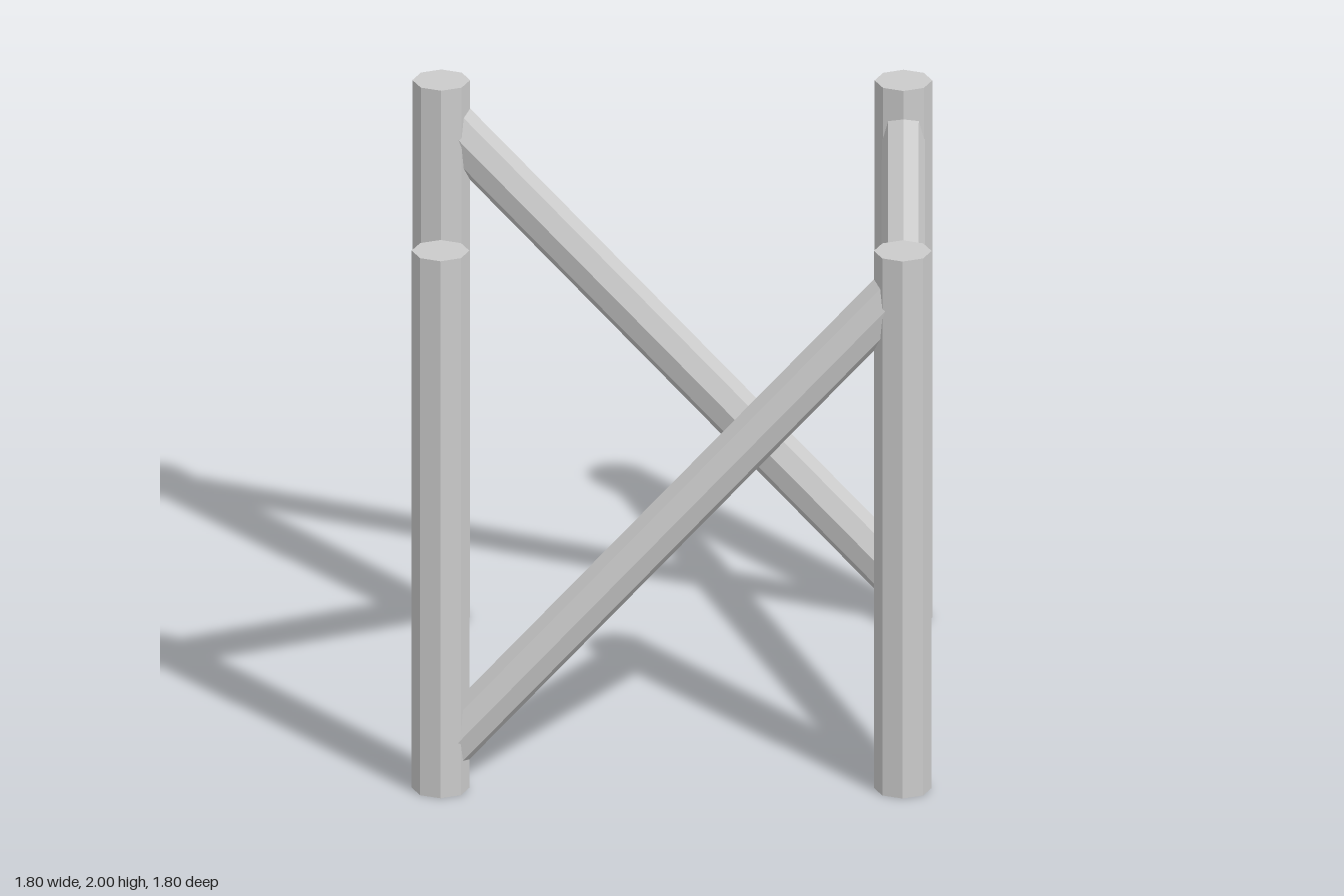
import * as THREE from 'three';

const HALF = 0.8;       // post offset from the centre
const LOW = 0.13, HIGH = 1.87;

export function createModel() {
  const model = new THREE.Group();
  model.name = 'bracedFrame';
  const material = new THREE.MeshStandardMaterial({ color: 0xcccccc, flatShading: true });

  // Octagonal corner post
  const postGeometry = new THREE.CylinderGeometry(0.1, 0.1, 2, 8);

  // Slightly oval octagonal diagonal, ends buried in the posts
  const run = HALF * 2, rise = HIGH - LOW;
  const braceGeometry = new THREE.CylinderGeometry(1, 1, Math.hypot(run, rise), 8);
  braceGeometry.scale(0.09, 1, 0.075);
  braceGeometry.rotateZ(-Math.atan2(run, rise));

  // Each side is one post and one rising brace, turned a quarter each time
  ['front', 'left', 'back', 'right'].forEach((sideName, i) => {
    const side = new THREE.Group();
    side.name = sideName + 'Side';
    side.rotation.y = i * Math.PI / 2;

    const post = new THREE.Mesh(postGeometry, material);
    post.name = sideName + 'Post';
    post.position.set(-HALF, 1, HALF);

    const brace = new THREE.Mesh(braceGeometry, material);
    brace.name = sideName + 'DiagonalBrace';
    brace.position.set(0, (LOW + HIGH) / 2, HALF);

    side.add(post, brace);
    model.add(side);
  });
  return model;
}
